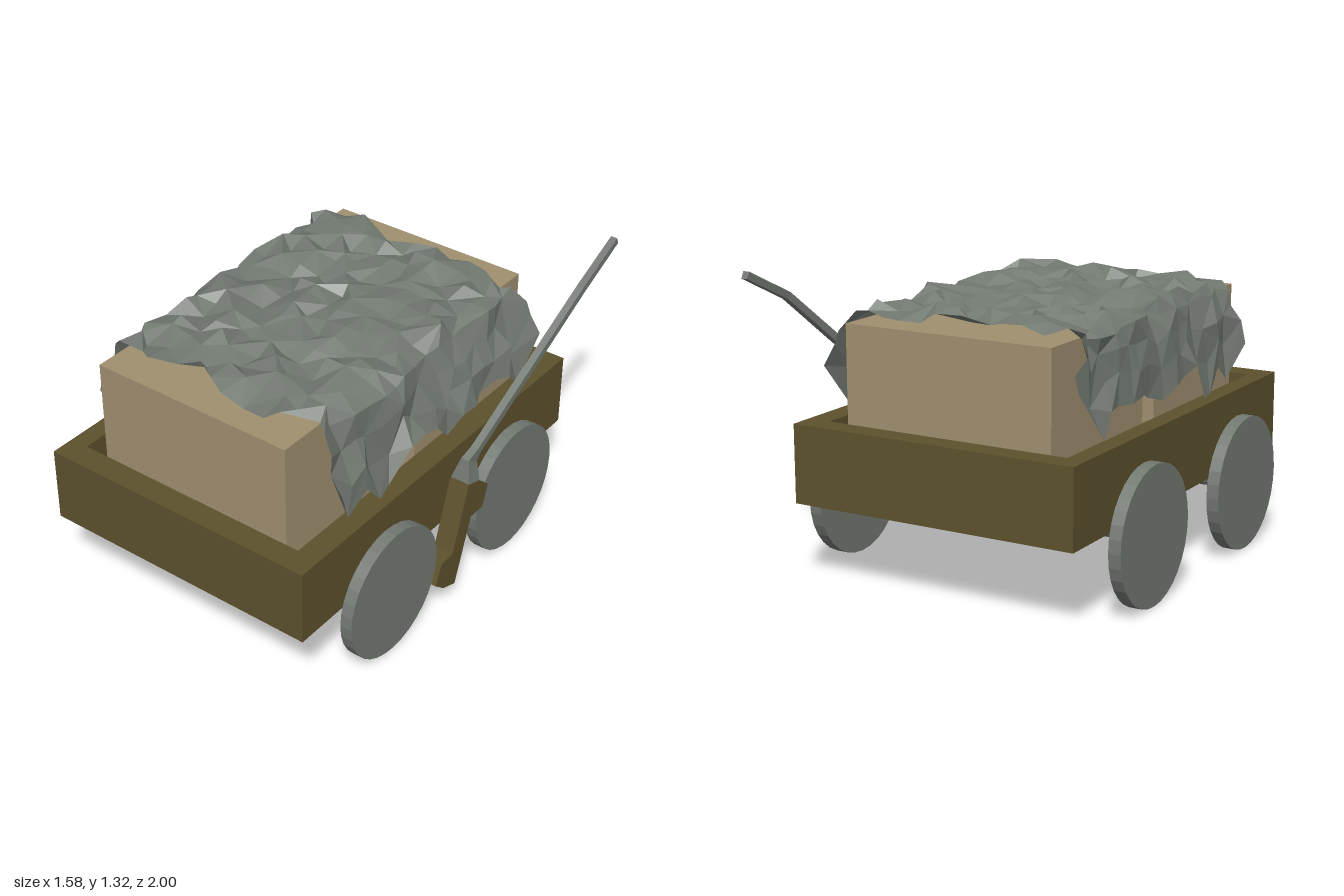
import * as THREE from 'three';

const mat = (name, color, opts = {}) => {
  const m = new THREE.MeshStandardMaterial({ color, ...opts });
  m.name = name;
  return m;
};

export function createModel() {
  const group = new THREE.Group();
  const wood = mat('dark wood', 0x5d512d, { flatShading: true });
  const crateWood = mat('pale crate wood', 0xa09070, { flatShading: true });
  const grey = mat('grey', 0x737a72, { flatShading: true, side: THREE.DoubleSide });

  const add = (name, geo, material, x = 0, y = 0, z = 0) => {
    const mesh = new THREE.Mesh(geo, material);
    mesh.name = name;
    mesh.position.set(x, y, z);
    group.add(mesh);
    return mesh;
  };
  // box given by its minimum and maximum corners
  const box = (name, material, a, b) => add(name,
    new THREE.BoxGeometry(b[0] - a[0], b[1] - a[1], b[2] - a[2]), material,
    (a[0] + b[0]) / 2, (a[1] + b[1]) / 2, (a[2] + b[2]) / 2);
  const polygon = (pts, Type = THREE.Shape) => new Type(pts.map(p => new THREE.Vector2(...p)));
  const rect = (x0, x1, z0, z1) => [[x0, -z0], [x0, -z1], [x1, -z1], [x1, -z0]];

  // open cart bed: rim walls around a sunken floor
  const rim = polygon(rect(-0.69, 0.625, -0.895, 1));
  rim.holes.push(polygon(rect(-0.605, 0.52, -0.79, 0.89), THREE.Path));
  const walls = new THREE.ExtrudeGeometry(rim, { depth: 0.34, bevelEnabled: false });
  walls.rotateX(-Math.PI / 2);
  add('bedWalls', walls, wood, 0, 0.35, 0);
  box('bedFloor', wood, [-0.61, 0.351, -0.8], [0.53, 0.44, 0.9]);

  // two crates side by side
  box('frontCrate', crateWood, [-0.53, 0.44, 0.085], [0.43, 1.11, 0.85]);
  box('rearCrate', crateWood, [-0.53, 0.44, -0.785], [0.43, 1.11, -0.02]);

  // wheels and axles
  for (const z of [0.49, -0.4]) {
    for (const x of [-0.7625, 0.6775]) {
      const wheel = new THREE.CylinderGeometry(0.298, 0.298, 0.055, 32);
      wheel.rotateZ(Math.PI / 2);
      add('wheel', wheel, grey, x, 0.3, z);
    }
    const axle = new THREE.CylinderGeometry(0.036, 0.036, 1.18, 16);
    axle.rotateZ(Math.PI / 2);
    add('axle', axle, grey, -0.04, 0.3, z);
  }

  // brake block: side outline in (z, y), extruded across x
  const outline = [[0, 0.565], [0.1, 0.26], [0.18, 0.255], [0.22, 0.16], [0.16, 0.11],
    [0.075, 0.08], [-0.03, 0.38], [-0.115, 0.38], [-0.15, 0.48], [-0.085, 0.54]];
  const brake = new THREE.ExtrudeGeometry(polygon(outline.map(([z, y]) => [-z, y])),
    { depth: 0.093, bevelEnabled: false });
  brake.rotateY(Math.PI / 2);
  add('brakeBlock', brake, wood, 0.632, 0, 0);

  // brake lever: square sections along a bent path: x, y, z, half width, half depth, tilt
  const sections = [
    [0.678, 0.55, -0.043, 0.046, 0.042, 0.3],
    [0.682, 0.645, -0.06, 0.019, 0.036, 0.5],
    [0.687, 0.675, -0.1, 0.017, 0.018, 0.85],
    [0.77, 1.185, -0.73, 0.016, 0.016, 1.0],
    [0.771, 1.308, -0.99, 0.015, 0.016, 1.13],
  ];
  const lever = [], leverIndex = [];
  sections.forEach(([x, y, z, w, d, t], i) => {
    for (const [sx, sd] of [[-1, -1], [1, -1], [1, 1], [-1, 1]])
      lever.push(x + sx * w, y + sd * d * Math.sin(t), z + sd * d * Math.cos(t));
    if (!i) return;
    for (let k = 0; k < 4; k++) {
      const a = (i - 1) * 4 + k, b = (i - 1) * 4 + (k + 1) % 4;
      leverIndex.push(a, a + 4, b, b, a + 4, b + 4);
    }
  });
  const last = (sections.length - 1) * 4;
  leverIndex.push(last, last + 2, last + 1, last, last + 3, last + 2);
  const surface = (positions, index) => {
    const g = new THREE.BufferGeometry();
    g.setAttribute('position', new THREE.Float32BufferAttribute(positions, 3));
    g.setIndex(index);
    const flat = g.toNonIndexed();
    flat.computeVertexNormals();
    return flat;
  };
  add('brakeLever', surface(lever, leverIndex), grey);

  // crumpled tarp draped over the crates
  let seed = 11;
  const jitter = (s) => {
    seed = (seed * 16807) % 2147483647;
    return (seed / 2147483647 * 2 - 1) * s;
  };
  const profile = [[-0.63, 0.7], [-0.615, 0.84], [-0.6, 0.98], [-0.575, 1.1]];
  for (let i = 0; i <= 10; i++) profile.push([-0.53 + i * 0.096, 1.155]);
  profile.push([0.495, 1.1], [0.53, 0.98], [0.56, 0.84], [0.59, 0.7]);
  // hem height at each row from front to back
  const hems = [0.87, 0.74, 0.8, 0.7, 0.7, 0.86, 0.84, 0.81, 0.74, 0.81, 0.8, 0.82, 0.83, 0.82, 0.71, 0.92];
  const rows = hems.length, cols = profile.length;
  const cloth = [], clothIndex = [];
  hems.forEach((hem, r) => {
    const drop = (1.155 - hem) / 0.455;
    const edge = r === 0 || r === rows - 1;
    profile.forEach(([x, y], c) => {
      const top = y > 1.12;
      const bow = edge ? 0.035 * Math.cos(c * 1.1) : 0;
      cloth.push(
        x + jitter(top ? 0.025 : 0.026),
        1.155 - (1.155 - y) * drop + jitter(top ? 0.032 : 0.02),
        0.715 - r / (rows - 1) * 1.385 + (r ? -bow : bow) + jitter(0.035));
      if (!r || !c) return;
      const a = (r - 1) * cols + c - 1, b = a + 1, d = a + cols, e = d + 1;
      if ((r + c) % 2) clothIndex.push(a, b, e, a, e, d);
      else clothIndex.push(a, b, d, b, e, d);
    });
  });
  add('tarp', surface(cloth, clothIndex), grey);

  return group;
}
